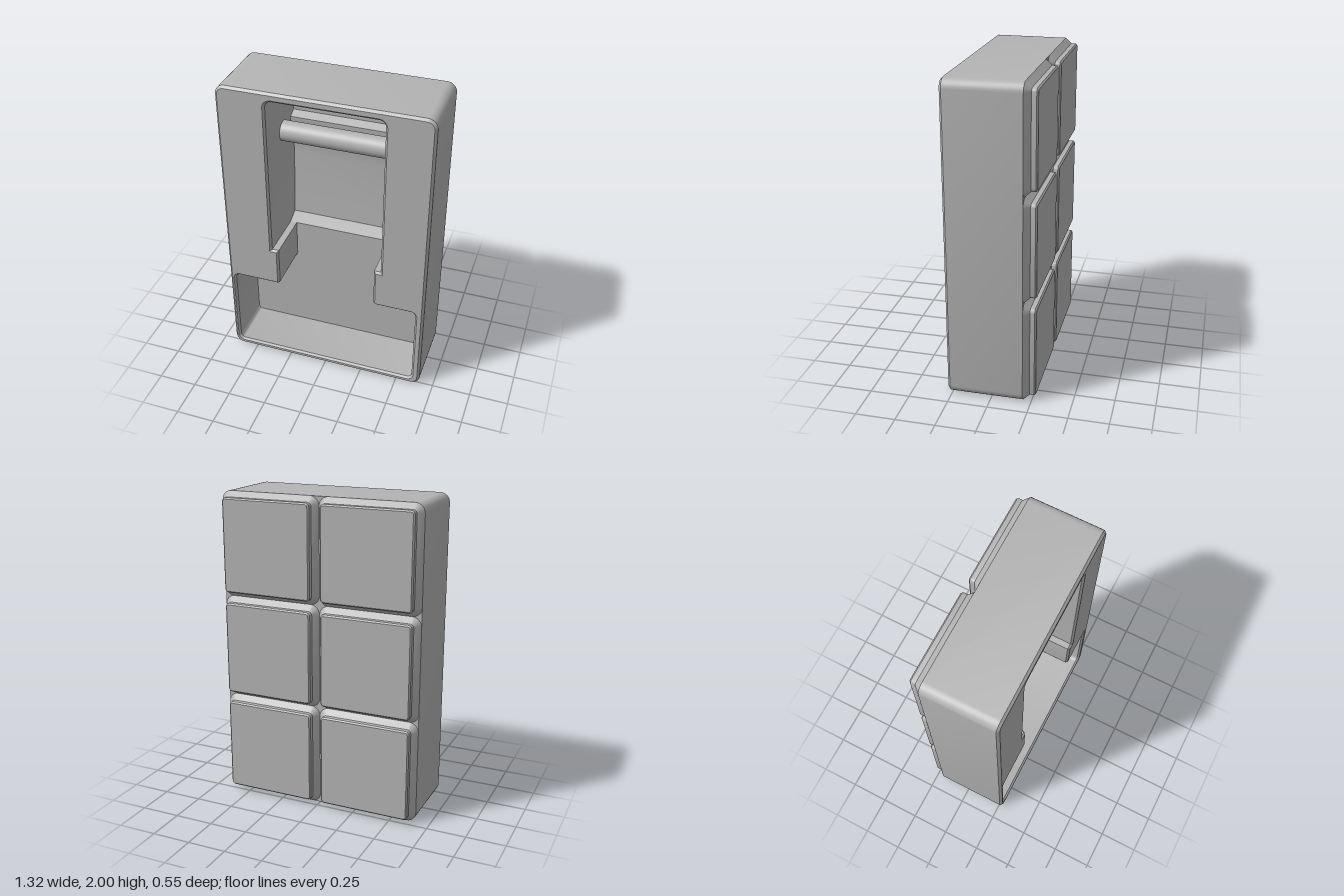
import * as THREE from 'three';
import { mergeGeometries, toCreasedNormals } from 'three/addons/utils/BufferGeometryUtils.js';

const grey = new THREE.MeshStandardMaterial({ color: 0xb4b4b4 });
grey.name = 'plain grey';

// Anticlockwise right-angled outline; corners are [x, y, radius], grown outward by d.
function outline(corners, d = 0, steps = 6) {
  const n = corners.length, out = [];
  for (let i = 0; i < n; i++) {
    const [x, y, r] = corners[i], p = corners[(i + n - 1) % n], q = corners[(i + 1) % n];
    const ax = Math.sign(x - p[0]), ay = Math.sign(y - p[1]);
    const bx = Math.sign(q[0] - x), by = Math.sign(q[1] - y);
    const turn = ax * by - ay * bx;
    const cx = x + d * (ay + by), cy = y - d * (ax + bx);
    const rad = r === 0 ? 0 : Math.max(r + turn * d, 0.002);
    if (rad === 0) { // repeated points would make empty faces, so one is enough
      out.push(new THREE.Vector2(cx, cy));
      continue;
    }
    for (let k = 0; k <= steps; k++) {
      const t = k / steps * Math.PI / 2, u = 1 - Math.sin(t), v = 1 - Math.cos(t);
      out.push(new THREE.Vector2(cx - ax * rad * u + bx * rad * v, cy - ay * rad * u + by * rad * v));
    }
  }
  return out;
}

const rect = (x0, x1, y0, y1, r) => [[x0, y0, r], [x1, y0, r], [x1, y1, r], [x0, y1, r]];

// Skin through sections with equal numbers of points.
function loft(sections, closed = true) {
  const n = sections[0].length, index = [];
  for (let s = 0; s < sections.length - 1; s++) {
    for (let i = 0; i < (closed ? n : n - 1); i++) {
      const j = (i + 1) % n, a = s * n + i, b = s * n + j;
      index.push(a, a + n, b + n, a, b + n, b);
    }
  }
  const g = new THREE.BufferGeometry();
  g.setAttribute('position', new THREE.Float32BufferAttribute(
    sections.flat().flatMap(p => [p.x, p.y, p.z]), 3));
  g.setIndex(index);
  return g.toNonIndexed();
}

const at = (points, z) => points.map(p => new THREE.Vector3(p.x, p.y, z));

// Flat face at depth z, optionally with a hole or facing backward.
function cap(points, z, { hole, back = false } = {}) {
  const shape = new THREE.Shape(points);
  if (hole) shape.holes.push(new THREE.Path(hole));
  const g = new THREE.ShapeGeometry(shape);
  g.translate(0, 0, z);
  if (back) g.index.array.reverse();
  g.deleteAttribute('uv');
  g.deleteAttribute('normal');
  return g.toNonIndexed();
}

function part(name, ...geometries) {
  const mesh = new THREE.Mesh(toCreasedNormals(mergeGeometries(geometries), 0.6), grey);
  mesh.name = name;
  return mesh;
}

export function createModel() {
  const model = new THREE.Group();
  model.name = 'dispenserBlock';
  const front = 0.275, back = -0.2, floorZ = -0.06, rim = 0.013;

  // Outer case and keyhole-shaped opening
  const body = rect(-0.66, 0.66, 0, 2, 0.06);
  const cavity = [
    [-0.622, 0.045, 0.03], [0.605, 0.045, 0.03], [0.605, 0.612, 0.03], [0.327, 0.612, 0.02],
    [0.327, 0.88, 0], [0.37, 0.88, 0], [0.37, 1.942, 0.04], [-0.352, 1.942, 0.04],
    [-0.352, 0.88, 0], [-0.308, 0.88, 0], [-0.308, 0.612, 0.02], [-0.622, 0.612, 0.03],
  ];
  const edge = outline(body, -0.015), side = outline(body);
  const mouth = outline(cavity, rim), inner = outline(cavity);
  model.add(part('outerCase',
    loft([at(edge, front), at(side, front - 0.015), at(side, back)]),
    cap(edge, front, { hole: mouth }),
    cap(side, back, { back: true })));
  model.add(part('pocketWalls', loft([at(inner, floorZ), at(inner, front - rim), at(mouth, front)])));

  // Floor of the lower pocket and neck
  model.add(part('lowerPocketFloor', cap(outline([
    [-0.622, 0.045, 0.03], [0.605, 0.045, 0.03], [0.605, 0.612, 0.03], [0.327, 0.612, 0.02],
    [0.327, 0.88, 0], [-0.308, 0.88, 0], [-0.308, 0.612, 0.02], [-0.622, 0.612, 0.03],
  ]), floorZ)));

  // Deeper upper pocket: side walls, then a ramped floor with a low ridge behind the rod
  const upper = outline([[-0.352, 0.88, 0], [0.37, 0.88, 0], [0.37, 1.942, 0.04], [-0.352, 1.942, 0.04]]);
  model.add(part('upperPocketWalls', loft([at(upper, -0.185), at(upper, floorZ)])));
  const profile = [[0.88, -0.06], [0.915, -0.145], [1.36, -0.172], [1.45, -0.166], [1.54, -0.148],
    [1.6, -0.125], [1.64, -0.125], [1.665, -0.178], [1.942, -0.178]];
  model.add(part('upperPocketFloor', loft(profile.reverse().map(([y, z]) =>
    [new THREE.Vector3(-0.352, y, z), new THREE.Vector3(0.37, y, z)]), false)));

  // Cross rod
  const rod = new THREE.Mesh(new THREE.CylinderGeometry(0.065, 0.065, 0.725, 40), grey);
  rod.name = 'crossRod';
  rod.rotation.z = Math.PI / 2;
  rod.position.set(0.009, 1.61, 0);
  model.add(rod);

  // Six stepped feet on the back, two across and three up
  const feet = new THREE.Group();
  feet.name = 'backFeet';
  const steps = [[0, -0.2], [-0.035, -0.237], [-0.035, -0.266], [-0.044, -0.275]];
  for (let col = 0; col < 2; col++) {
    for (let row = 0; row < 3; row++) {
      const x = (col - 1) * 0.66, y = row * 2 / 3;
      const cell = rect(x, x + 0.66, y, y + 2 / 3, 0.06);
      feet.add(part('backFoot',
        loft(steps.map(([d, z]) => at(outline(cell, d), z))),
        cap(outline(cell, -0.044), -0.275, { back: true })));
    }
  }
  model.add(feet);
  return model;
}
